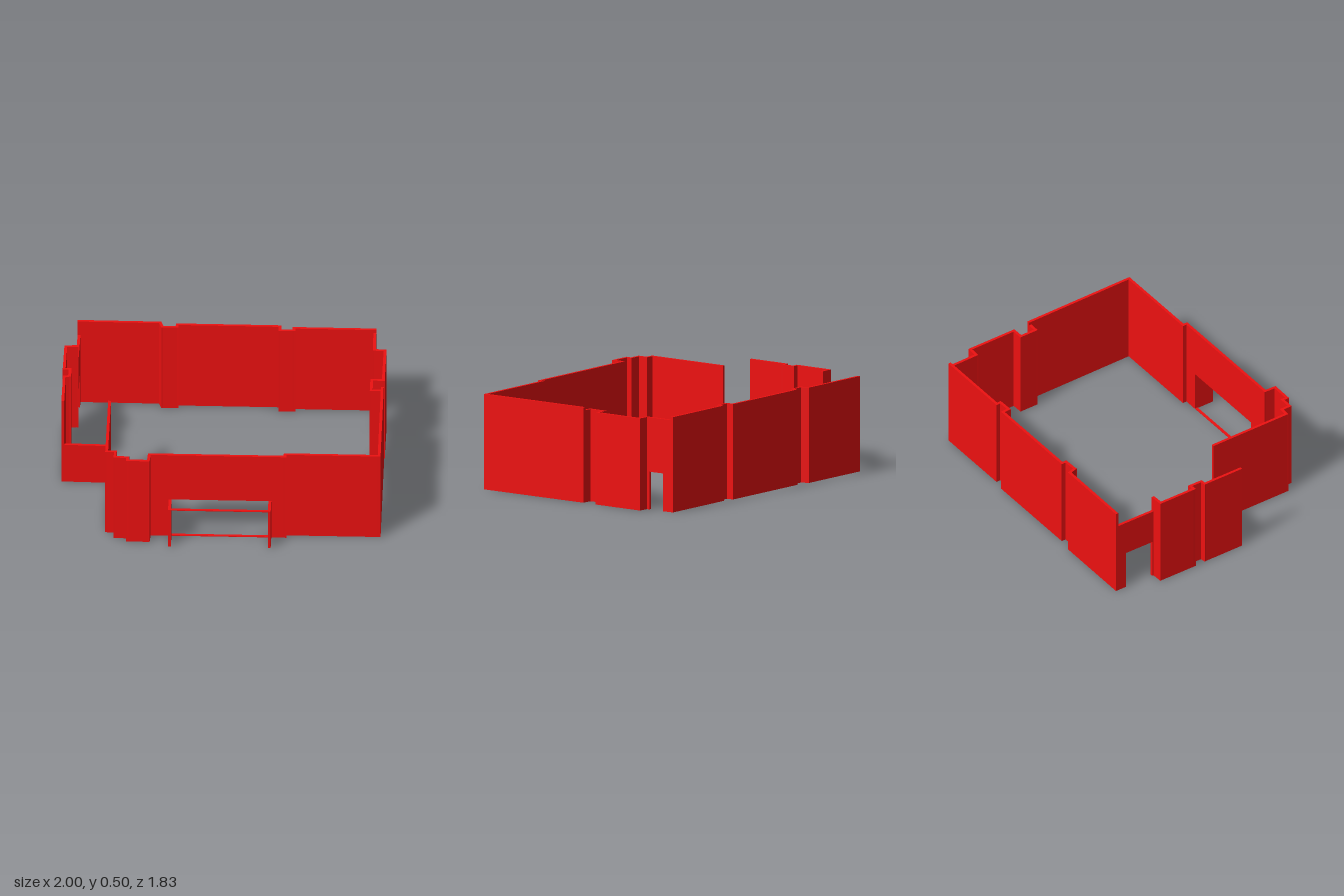
import * as THREE from 'three';

const T = 0.015;   // wall thickness
const H = 0.505;   // full wall height
const LOW = 0.488; // slightly lower stretch at the back

const material = new THREE.MeshStandardMaterial({ color: 0xee1111 });

// One upright slab along a->b, covering the fractions t0..t1 and heights y0..y1.
// Ends that meet a corner are lengthened by half a thickness to close it.
function slab(name, a, b, y0, y1, t0 = 0, t1 = 1) {
  const dx = b[0] - a[0], dz = b[1] - a[1];
  const length = Math.hypot(dx, dz);
  const s = t0 * length - (t0 === 0 ? T / 2 : 0);
  const e = t1 * length + (t1 === 1 ? T / 2 : 0);
  const mesh = new THREE.Mesh(new THREE.BoxGeometry(e - s, y1 - y0, T), material);
  const m = (s + e) / 2 / length;
  mesh.position.set(a[0] + dx * m, (y0 + y1) / 2, a[1] + dz * m);
  mesh.rotation.y = -Math.atan2(dz, dx);
  mesh.name = name;
  return mesh;
}

// Wall with a rectangular opening from the floor up to a lintel.
function wallWithOpening(name, a, b, height, t0, t1, head) {
  const group = new THREE.Group();
  group.name = name;
  group.add(
    slab('pier', a, b, 0, height, 0, t0),
    slab('pier', a, b, 0, height, t1, 1),
    slab('lintel', a, b, head, height, t0, t1)
  );
  return group;
}

// A run of plain walls through a list of corners.
function wallRun(name, points, height = H) {
  const group = new THREE.Group();
  group.name = name;
  for (let i = 0; i + 1 < points.length; i++) {
    group.add(slab('wall', points[i], points[i + 1], 0, height));
  }
  return group;
}

export function createModel() {
  const model = new THREE.Group();
  model.name = 'walledEnclosure';

  // Main corners shared between runs
  const west = [-0.99, 0.213], north = [0.075, -0.906], east = [0.989, -0.152];
  const doorEnd = [0.2, -0.795], backStep = [0.515, -0.58];
  const gateStart = [0.675, 0.225], gateEnd = [0.197, 0.748];
  const notch = [-0.312, 0.585], notchFoot = [-0.48, 0.762];
  const leftDoorEnd = [-0.817, 0.375];

  // Back left side with two shallow recesses
  model.add(wallRun('backLeftWall', [
    west, [-0.703, -0.098], [-0.665, -0.08], [-0.615, -0.138], [-0.632, -0.155],
    [-0.27, -0.55], [-0.24, -0.525], [-0.192, -0.58], [-0.21, -0.595], north
  ]));

  // Back right side: doorway, low recessed stretch, then the long wall
  model.add(wallWithOpening('backDoorWall', doorEnd, north, LOW, 0.13, 0.67, 0.2));
  model.add(wallRun('backRightLowWall', [
    doorEnd, [0.24, -0.835], [0.445, -0.647], [0.405, -0.602], [0.475, -0.538], backStep
  ], LOW));
  model.add(wallRun('backRightWall', [backStep, east]));

  // Front right side with the wide gateway
  model.add(wallRun('frontRightWall', [east, [0.658, 0.21], gateStart]));
  const t0 = 0.112, t1 = 0.847, head = 0.228;
  model.add(wallWithOpening('gatewayWall', gateStart, gateEnd, H, t0, t1, head));
  model.add(slab('gatewaySill', gateStart, gateEnd, 0, 0.004, t0, t1));

  // Gateway porch: two projecting jambs joined by a thin top rail
  const outer = [];
  for (const t of [t0, t1]) {
    const p = gateStart.map((v, i) => v + (gateEnd[i] - v) * t);
    const q = [p[0] + 0.073, p[1] + 0.067];
    model.add(slab('gatewayJamb', p, q, 0, head));
    outer.push(q);
  }
  model.add(slab('gatewayRail', outer[0], outer[1], head - 0.004, head));

  // Stepped front corner and front left wall up to the notch
  model.add(wallRun('frontCornerWall', [
    gateEnd, [0.24, 0.792], [0.165, 0.872], [0.145, 0.852], [0.1, 0.9],
    [0.062, 0.866], [0.03, 0.898], notch
  ]));

  // Parapet in the notch
  model.add(slab('lowParapet', notch, notchFoot, 0, 0.23));

  // Left end with a recess, and its lower doorway wall
  model.add(wallRun('frontLeftWall', [
    notchFoot, [-0.645, 0.61], [-0.63, 0.587], [-0.68, 0.54], [-0.7, 0.564],
    [-0.855, 0.42], leftDoorEnd
  ]));
  model.add(wallWithOpening('leftDoorWall', west, leftDoorEnd, 0.42, 0.24, 0.94, 0.222));

  return model;
}
